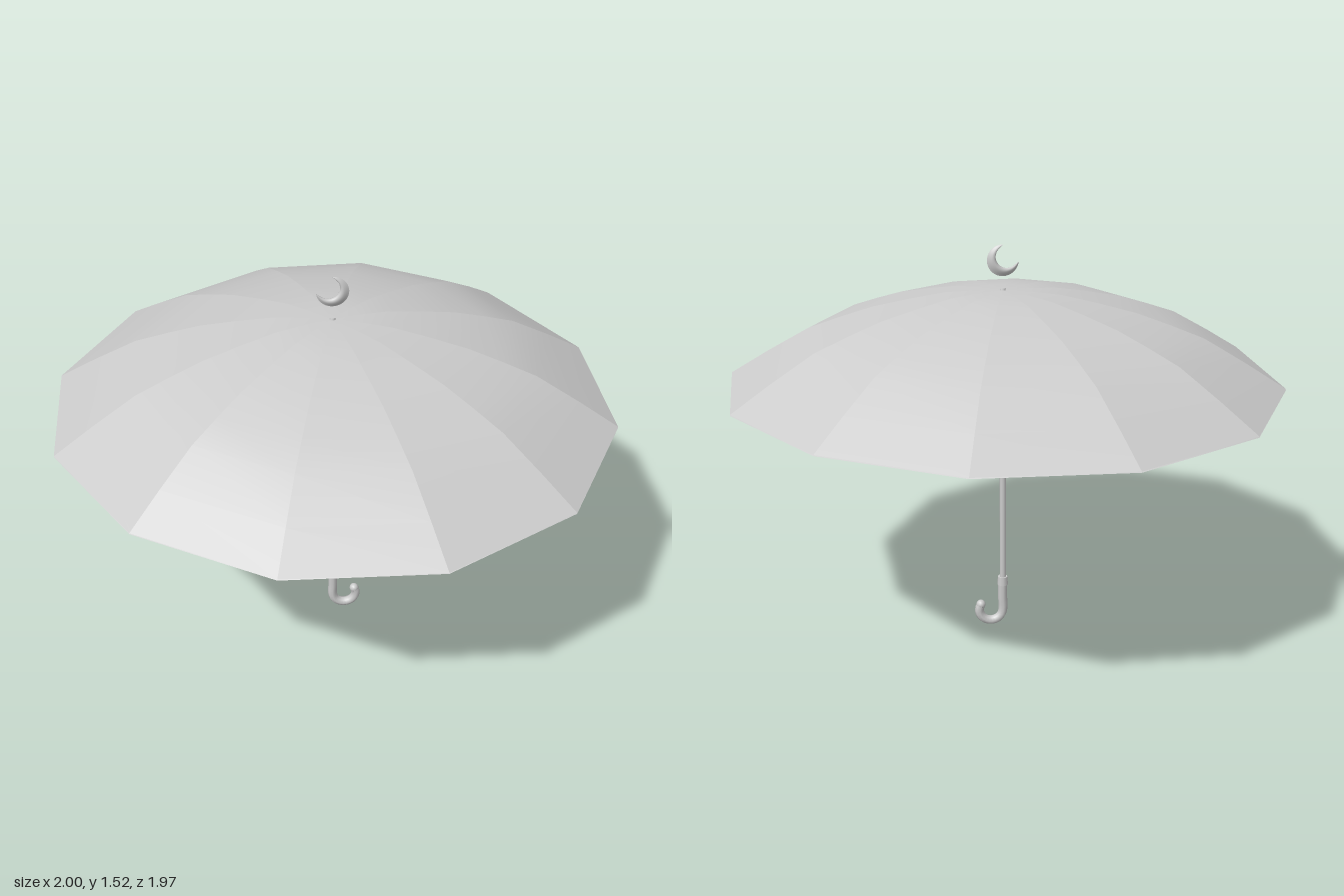
import * as THREE from 'three';
import { mergeVertices } from 'three/addons/utils/BufferGeometryUtils.js';

const grey = new THREE.MeshStandardMaterial({ color: 0xcccccc });
grey.name = 'light grey';
grey.side = THREE.DoubleSide;

function add(parent, name, geometry, x = 0, y = 0, z = 0) {
  const mesh = new THREE.Mesh(geometry, grey);
  mesh.name = name;
  mesh.position.set(x, y, z);
  parent.add(mesh);
  return mesh;
}

// Surface through a grid of points: point(i, j) for i in 0..rows, j in 0..cols
function loft(rows, cols, point) {
  const pos = [], index = [];
  for (let i = 0; i <= rows; i++) {
    for (let j = 0; j <= cols; j++) pos.push(...point(i, j));
  }
  for (let i = 0; i < rows; i++) {
    for (let j = 0; j < cols; j++) {
      const a = i * (cols + 1) + j, b = a + cols + 1;
      index.push(a, b, b + 1, a, b + 1, a + 1);
    }
  }
  const g = new THREE.BufferGeometry();
  g.setAttribute('position', new THREE.Float32BufferAttribute(pos, 3));
  g.setIndex(index);
  g.computeVertexNormals();
  return g;
}

// Twelve panels creased at the ribs, over a smooth lining
function canopy() {
  const group = new THREE.Group();
  group.name = 'canopy';
  const profile = [[0.004, 1.354], [0.1, 1.351], [0.21, 1.342], [0.34, 1.316],
    [0.478, 1.284], [0.6, 1.243], [0.722, 1.198], [0.88, 1.107], [1.024, 1.018]];
  const rim = profile.length - 1;
  const ribPoint = (k, i) => {
    const a = THREE.MathUtils.degToRad(16 + k * 30);
    const warp = Math.cos(2 * (a + 0.61)); // the rim is slightly saddle-shaped
    const [r0, y0] = profile[i];
    const r = r0 * (1 + 0.011 * warp);
    return [r * Math.cos(a), y0 - 0.009 * warp * r0, -r * Math.sin(a)];
  };
  for (let k = 0; k < 12; k++) {
    add(group, 'canopyPanel', loft(rim, 1, (i, j) => ribPoint(k + j, i)));
  }
  const lining = loft(rim, 12, (i, j) => ribPoint(j % 12, i));
  lining.deleteAttribute('normal');
  const smooth = mergeVertices(lining);
  smooth.computeVertexNormals();
  add(group, 'lining', smooth, 0, -0.004, 0);
  return group;
}

// Hooked handle with a collar and a rounded tip
function handle() {
  const group = new THREE.Group();
  group.name = 'handle';
  const pts = [new THREE.Vector3(0, 0.18, 0), new THREE.Vector3(0, 0.12, 0)];
  for (let i = 0; i <= 7; i++) {
    const a = Math.PI * (1 + i / 6);
    pts.push(new THREE.Vector3(0.046 + 0.047 * Math.cos(a), 0.072 + 0.047 * Math.sin(a), 0));
  }
  const curve = new THREE.CatmullRomCurve3(pts);
  add(group, 'hook', new THREE.TubeGeometry(curve, 22, 0.018, 8));
  const tip = pts[pts.length - 1];
  add(group, 'hookTip', new THREE.SphereGeometry(0.0185, 10, 8), tip.x, tip.y, 0);
  add(group, 'collar', new THREE.CylinderGeometry(0.019, 0.021, 0.034, 10), 0, 0.195, 0);
  group.position.set(0.003, -0.004, 0);
  return group;
}

// Floating crescent: a tapering, lens-thin loop, widest at the lower right
function crescent() {
  const steps = 32, sides = 12, outer = 0.058;
  return loft(steps, sides, (i, j) => {
    const t = i / steps;
    const a = THREE.MathUtils.degToRad(186 + 266 * t);
    const w = 0.0005 + 0.018 * Math.max(0, Math.sin(Math.PI * t)) ** 0.75;
    const b = -(j / sides) * Math.PI * 2;
    const r = outer - w + w * Math.cos(b);
    const z = 0.019 * Math.sin(b) * (1.02 - (r / outer) ** 2);
    return [r * Math.cos(a), r * Math.sin(a), z];
  });
}

export function createModel() {
  const model = new THREE.Group();
  model.name = 'umbrella';
  model.add(canopy());
  add(model, 'shaft', new THREE.CylinderGeometry(0.0125, 0.0125, 1.16, 10), 0.002, 0.77, 0);
  add(model, 'topCap', new THREE.CylinderGeometry(0.009, 0.012, 0.012, 10), 0.002, 1.355, 0);
  model.add(handle());
  add(model, 'crescent', crescent(), 0.002, 1.463, 0);
  return model;
}
